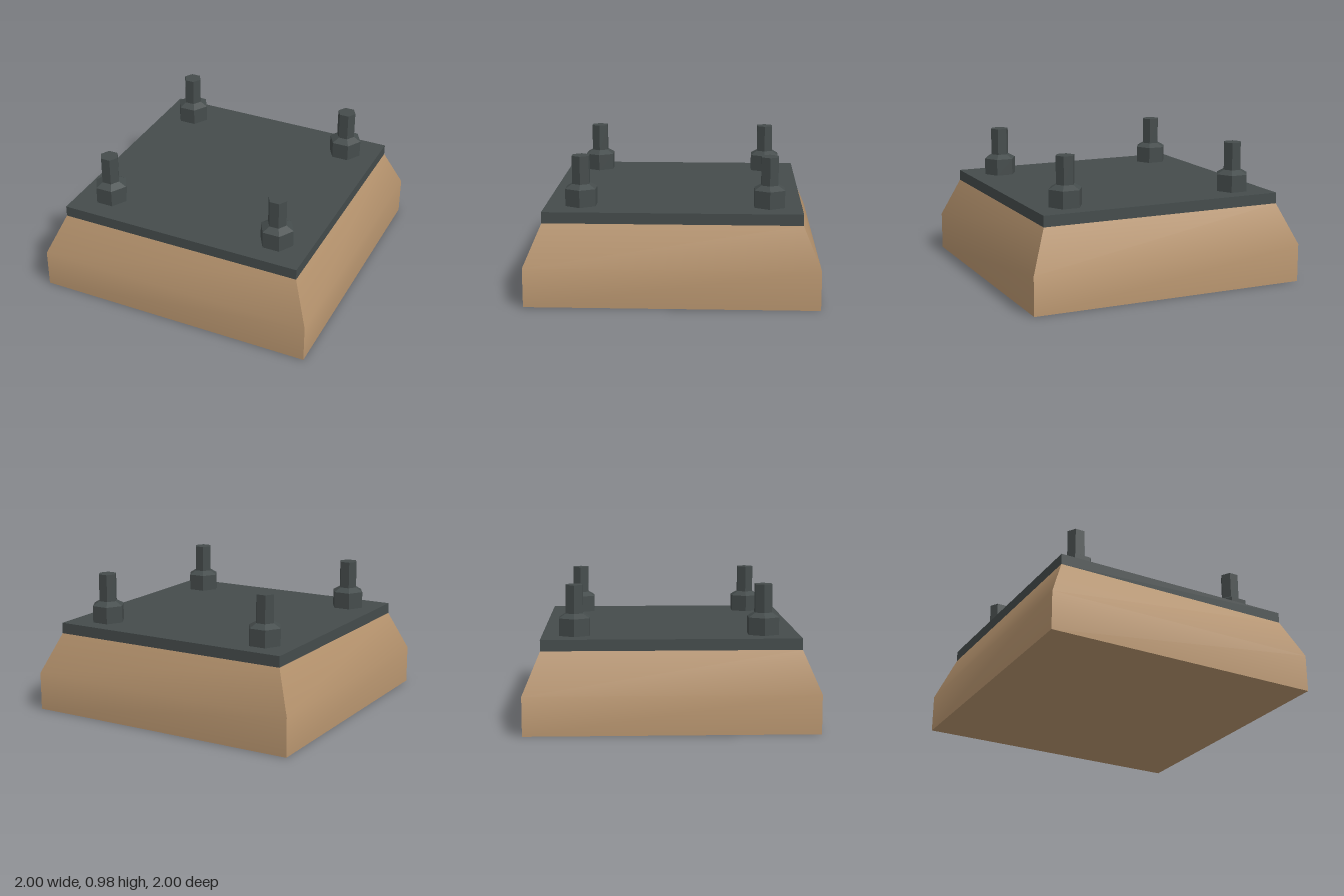
import * as THREE from 'three';
import { mergeGeometries } from 'three/addons/utils/BufferGeometryUtils.js';

const stone = new THREE.MeshStandardMaterial({ color: 0xb8956f });
stone.name = 'tan concrete';
const steel = new THREE.MeshStandardMaterial({ color: 0x454c4c });
steel.name = 'dark steel';

const KINK = 0.27, TOP = 0.553, PLATE_TOP = 0.63, INSET = 0.88;

// One side of the footing: upright below, sloping in above, softly shaded across the bend
function footingSide(turn) {
  const rows = [[1, 0], [1, KINK], [INSET, TOP]]; // half width, height
  const positions = rows.flatMap(([r, y]) => [-r, y, r, r, y, r]);
  const index = [];
  for (let i = 0; i < rows.length - 1; i++) {
    const a = i * 2;
    index.push(a, a + 1, a + 3, a, a + 3, a + 2);
  }
  const g = new THREE.BufferGeometry();
  g.setAttribute('position', new THREE.Float32BufferAttribute(positions, 3));
  g.setIndex(index);
  g.computeVertexNormals();
  return g.rotateY(turn * Math.PI / 2);
}

// Flat square closing the footing
function footingCap(half, y, up) {
  const g = new THREE.PlaneGeometry(half * 2, half * 2);
  g.rotateX(up ? -Math.PI / 2 : Math.PI / 2).translate(0, y, 0);
  g.deleteAttribute('uv');
  return g;
}

// Faceted hexagonal prism with corners pointing along x
function hexPrism(name, rTop, rBottom, y0, y1, open = false) {
  const g = new THREE.CylinderGeometry(rTop, rBottom, y1 - y0, 6, 1, open, Math.PI / 6)
    .translate(0, (y0 + y1) / 2, 0).toNonIndexed();
  g.computeVertexNormals();
  const mesh = new THREE.Mesh(g, steel);
  mesh.name = name;
  return mesh;
}

export function createModel() {
  const model = new THREE.Group();
  model.name = 'anchorFooting';

  // Footing block
  const footing = new THREE.Mesh(mergeGeometries([
    ...[0, 1, 2, 3].map(footingSide),
    footingCap(1, 0, false),
    footingCap(INSET, TOP, true),
  ]), stone);
  footing.name = 'footing';
  model.add(footing);

  // Steel base plate
  const plate = new THREE.Mesh(
    new THREE.BoxGeometry(INSET * 2, PLATE_TOP - TOP, INSET * 2), steel);
  plate.position.y = (PLATE_TOP + TOP) / 2;
  plate.name = 'basePlate';
  model.add(plate);

  // Anchor bolts with chamfered nuts, one near each corner
  for (const x of [-0.648, 0.635]) {
    for (const z of [-0.657, 0.636]) {
      const anchor = new THREE.Group();
      anchor.name = 'anchorBolt';
      anchor.add(
        hexPrism('nut', 0.12, 0.12, PLATE_TOP, 0.75, true),
        hexPrism('nutChamfer', 0.067, 0.12, 0.75, 0.78, true),
        hexPrism('boltShaft', 0.067, 0.067, 0.78, 0.975),
      );
      anchor.position.set(x, 0, z);
      model.add(anchor);
    }
  }
  return model;
}
